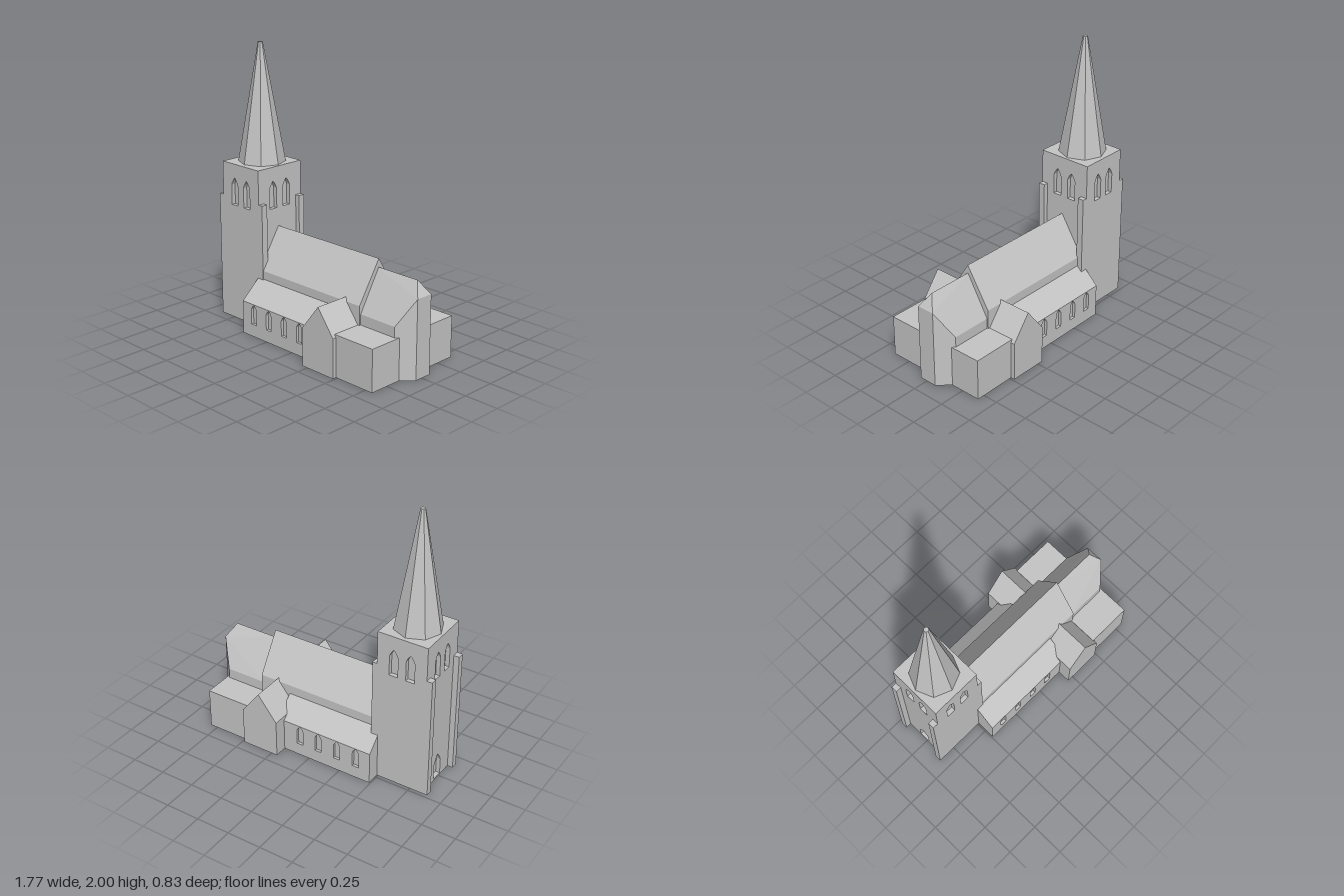
import * as THREE from 'three';
import { ConvexGeometry } from 'three/addons/geometries/ConvexGeometry.js';

export function createModel() {
  const church = new THREE.Group();
  church.name = 'church';
  const stone = new THREE.MeshStandardMaterial({ color: 0xc4c4c4 });
  stone.name = 'stone';

  const add = (name, geometry) => {
    const mesh = new THREE.Mesh(geometry, stone);
    mesh.name = name;
    church.add(mesh);
    return mesh;
  };

  // Box given by its limits on each axis
  const box = (name, x0, x1, y0, y1, z0, z1) => add(name,
    new THREE.BoxGeometry(x1 - x0, y1 - y0, z1 - z0)
      .translate((x0 + x1) / 2, (y0 + y1) / 2, (z0 + z1) / 2));

  // Profile of [z, y] points extruded from x0 to x1
  const alongX = (name, points, x0, x1) => {
    const shape = new THREE.Shape(points.map(([z, y]) => new THREE.Vector2(-z, y)));
    const g = new THREE.ExtrudeGeometry(shape, { depth: x1 - x0, bevelEnabled: false });
    return add(name, g.rotateY(Math.PI / 2).translate(x0, 0, 0));
  };

  // Pointed opening: centre, half width, sill, shoulder and tip heights
  const lancet = (x, hw, sill, shoulder, tip) => {
    const p = new THREE.Path();
    p.moveTo(x - hw, sill);
    p.lineTo(x + hw, sill);
    p.lineTo(x + hw, shoulder);
    p.quadraticCurveTo(x + hw * 0.75, (shoulder + tip) / 2, x, tip);
    p.quadraticCurveTo(x - hw * 0.75, (shoulder + tip) / 2, x - hw, shoulder);
    p.closePath();
    return p;
  };

  // Wall with openings; its outer face lies at x, z and is turned by angle
  const wall = (name, width, height, depth, holes, x, z, angle) => {
    const w = width / 2;
    const shape = new THREE.Shape([[-w, 0], [w, 0], [w, height], [-w, height]]
      .map(([a, b]) => new THREE.Vector2(a, b)));
    shape.holes.push(...holes);
    const g = new THREE.ExtrudeGeometry(shape, { depth, bevelEnabled: false, curveSegments: 4 });
    return add(name, g.translate(0, 0, -depth).rotateY(angle).translate(x, 0, z));
  };

  // Tower: solid core with a recessed-window wall on each side
  const tx = -0.66, tz = -0.025, tw = 0.37, td = 0.4, th = 1.155, t = 0.03;
  box('towerCore', tx - tw / 2 + t, tx + tw / 2 - t, 0, th, tz - td / 2 + t, tz + td / 2 - t);
  const belfry = () => [-0.062, 0.062].map(x => lancet(x, 0.032, 0.855, 1.0, 1.055));
  const door = lancet(0, 0.042, 0.012, 0.13, 0.2);
  wall('towerFrontWall', tw, th, t, belfry(), tx, tz + td / 2, 0);
  wall('towerBackWall', tw, th, t, belfry(), tx, tz - td / 2, Math.PI);
  wall('towerEastWall', td - 2 * t, th, t, belfry(), tx + tw / 2, tz, Math.PI / 2);
  wall('towerWestWall', td - 2 * t, th, t, [...belfry(), door], tx - tw / 2, tz, -Math.PI / 2);

  // Corner buttresses
  for (const [x0, x1] of [[-0.885, -0.84], [-0.48, -0.44]])
    for (const [z0, z1] of [[-0.225, -0.178], [0.128, 0.175]])
      box('buttress', x0, x1, 0, 0.91, z0, z1);

  // Eight-sided spire
  const spire = new THREE.CylinderGeometry(0.017, 0.167, 2 - th, 8).toNonIndexed();
  spire.computeVertexNormals();
  add('spire', spire.translate(tx, (2 + th) / 2, -0.03));

  // Nave
  alongX('nave', [[0.17, 0], [0.17, 0.435], [-0.01, 0.72], [-0.188, 0.44], [-0.188, 0]], -0.49, 0.487);

  // Side aisles with lean-to roofs and windows
  const ax0 = -0.492, ax1 = 0.25, mid = (ax0 + ax1) / 2;
  for (const [side, outer, inner] of [[1, 0.32, 0.168], [-1, -0.325, -0.186]]) {
    const core = outer - side * 0.02, deep = side * 0.1;
    alongX('aisleCore', [[deep, 0], [core, 0], [core, 0.24], [deep, 0.24]], ax0, ax1);
    alongX('aisleRoof', [[deep, 0.24], [outer, 0.24], [inner, 0.375], [deep, 0.375]], ax0, ax1);
    const windows = [-0.38, -0.229, -0.077, 0.073]
      .map(x => lancet(side * (x - mid), 0.025, 0.09, 0.2, 0.236));
    wall('aisleWall', ax1 - ax0, 0.24, 0.02, windows, mid, outer, side > 0 ? 0 : Math.PI);
  }

  // Transept crossing the nave
  const gable = new THREE.Shape([[0.205, 0], [0.487, 0], [0.487, 0.28], [0.35, 0.46], [0.205, 0.275]]
    .map(([x, y]) => new THREE.Vector2(x, y)));
  add('transept', new THREE.ExtrudeGeometry(gable, { depth: 0.835, bevelEnabled: false })
    .translate(0, 0, -0.42));

  // Flat-roofed side chapels
  box('leftChapel', 0.475, 0.808, 0, 0.3, 0.1, 0.388);
  box('rightChapel', 0.475, 0.805, 0, 0.3, -0.39, -0.1);

  // Chancel with a chamfered, hipped end
  const cz = -0.01, points = [[0.47, 0.66, 0], [0.822, 0.66, 0]];
  for (const s of [-1, 1])
    points.push([0.47, 0, s * 0.168], [0.47, 0.375, s * 0.168],
      [0.785, 0, s * 0.168], [0.785, 0.375, s * 0.168],
      [0.885, 0, s * 0.066], [0.885, 0.563, s * 0.066]);
  add('chancel', new ConvexGeometry(points.map(([x, y, z]) => new THREE.Vector3(x, y, z + cz))));

  return church;
}
